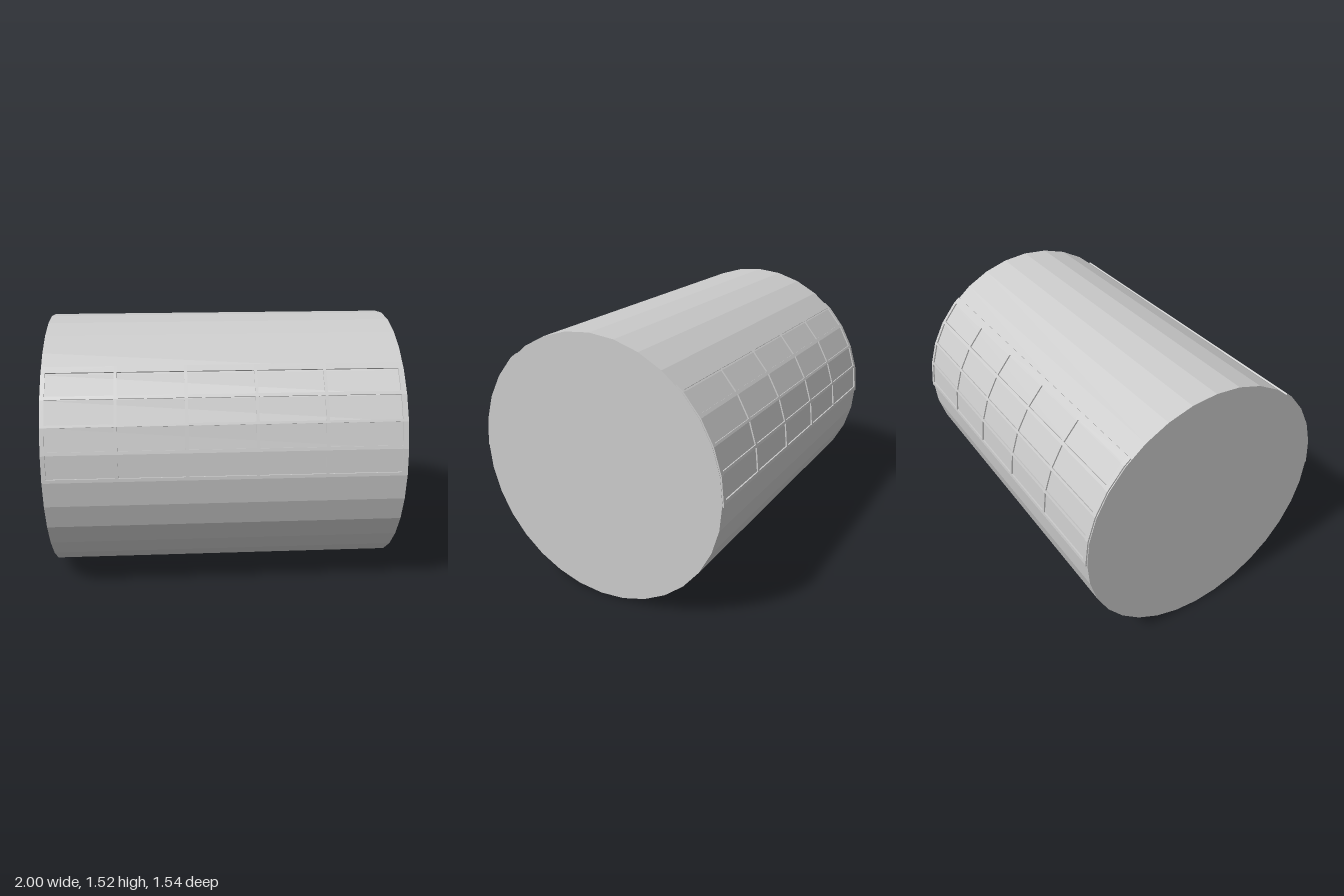
import * as THREE from 'three';

const SIDES = 32, RADIUS = 0.762, LENGTH = 2;
const STEP = 360 / SIDES;
const material = new THREE.MeshStandardMaterial({ color: 0xcccccc, flatShading: true });

// Point on a 32-sided ring of the given corner radius, angle in degrees up from the side
function ringPoint(angle, radius) {
  const rad = Math.PI / 180;
  const off = angle - Math.floor(angle / STEP) * STEP - STEP / 2;
  const r = radius * Math.cos(STEP / 2 * rad) / Math.cos(off * rad);
  return new THREE.Vector2(-r * Math.cos(angle * rad), r * Math.sin(angle * rad));
}

// Thin bar hugging the facets from angle a0 to a1, running from x0 to x1
function frameBar(name, a0, a1, x0, x1) {
  const angles = [a0];
  for (let k = Math.floor(a0 / STEP) + 1; k * STEP < a1; k++) angles.push(k * STEP);
  angles.push(a1);
  const outer = angles.map(a => ringPoint(a, RADIUS + 0.008));
  const inner = angles.map(a => ringPoint(a, RADIUS - 0.006)).reverse();
  const geometry = new THREE.ExtrudeGeometry(new THREE.Shape([...outer, ...inner]), {
    depth: x1 - x0, bevelEnabled: false,
  });
  // Extrusion runs along x, profile faces the front
  geometry.rotateY(Math.PI / 2).translate(x0, 0, 0);
  const mesh = new THREE.Mesh(geometry, material);
  mesh.name = name;
  return mesh;
}

// Grid of uprights and rails leaving 5 x 4 recessed panes
function windowFrame(name) {
  const group = new THREE.Group();
  group.name = name;
  const uprights = [[-0.998, -0.975], [-0.605, -0.588], [-0.222, -0.205],
    [0.163, 0.18], [0.545, 0.562], [0.967, 0.995]];
  const rails = [[-0.9, 1.4], [11.6, 12.7], [22.4, 23.5], [33.9, 35.3], [45.7, 48.7]];
  uprights.forEach(([x0, x1], i) => {
    group.add(frameBar('upright', -0.9, 48.7, x0, x1));
    if (i === uprights.length - 1) return;
    for (const [a0, a1] of rails) {
      group.add(frameBar('rail', a0, a1, x1, uprights[i + 1][0]));
    }
  });
  return group;
}

export function createModel() {
  const model = new THREE.Group();
  model.name = 'cylinderWithWindows';

  // Main faceted drum lying along x
  const drum = new THREE.Mesh(
    new THREE.CylinderGeometry(RADIUS, RADIUS, LENGTH, SIDES).rotateZ(Math.PI / 2), material);
  drum.name = 'drum';
  model.add(drum);

  // Matching window frames on the front and back
  const front = windowFrame('frontWindowFrame');
  const back = windowFrame('backWindowFrame');
  back.rotation.y = Math.PI;
  model.add(front, back);

  model.position.y = RADIUS;
  const root = new THREE.Group();
  root.add(model);
  return root;
}
